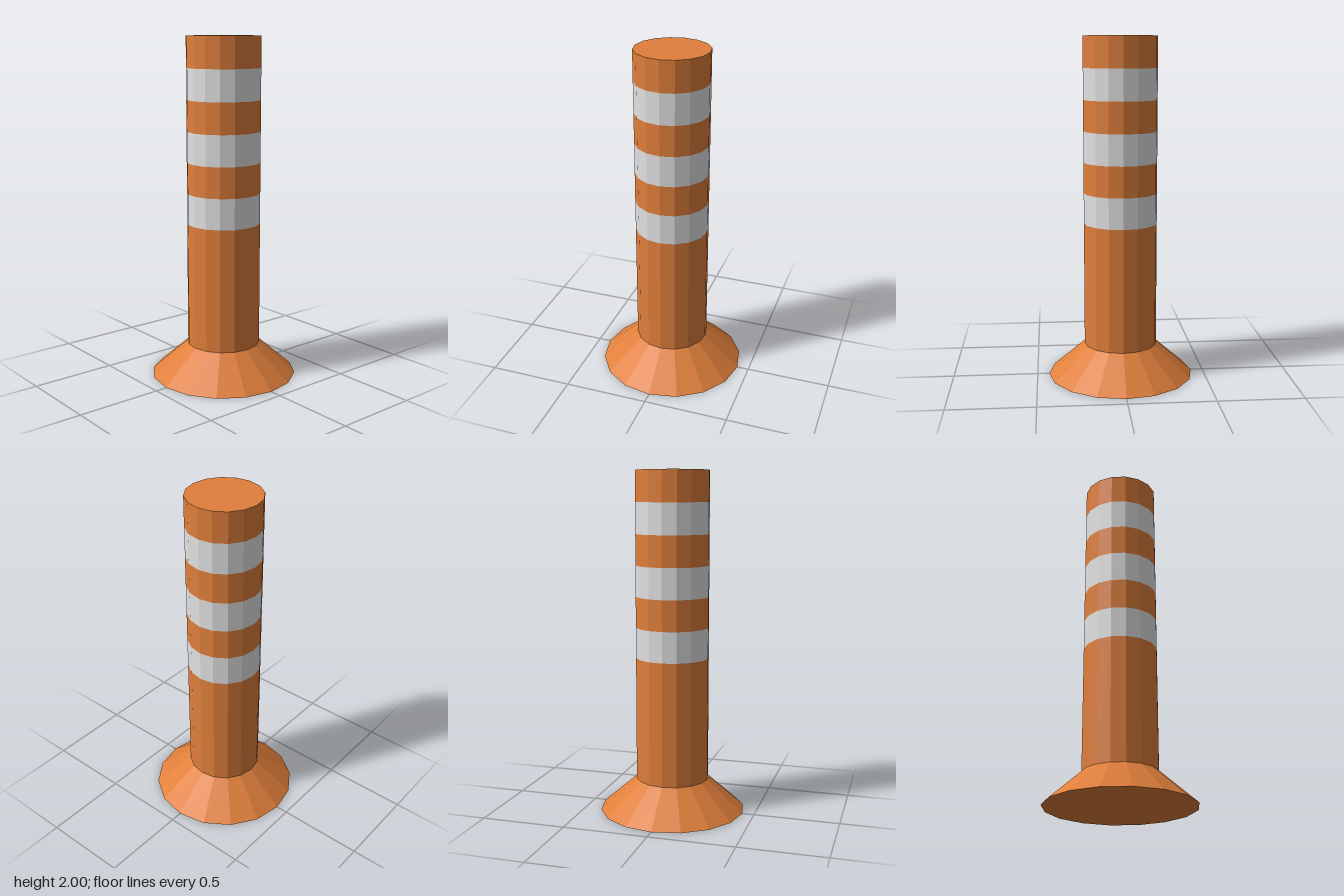
import * as THREE from 'three';

const SIDES = 16;
const POST_RADIUS = 0.215;
const BASE_RADIUS = 0.43;

export function createModel() {
  const model = new THREE.Group();
  model.name = 'trafficBollard';

  const orange = new THREE.MeshStandardMaterial({ color: 0xe07f3b, flatShading: true });
  orange.name = 'orange plastic';
  const white = new THREE.MeshStandardMaterial({ color: 0xe2e2e2, flatShading: true });
  white.name = 'reflective white';

  // One faceted ring between two heights, open unless capped
  function addSection(name, material, y0, y1, bottomRadius = POST_RADIUS) {
    const geometry = new THREE.CylinderGeometry(POST_RADIUS, bottomRadius, y1 - y0, SIDES, 1, true);
    const mesh = new THREE.Mesh(geometry, material);
    mesh.name = name;
    mesh.position.y = (y0 + y1) / 2;
    model.add(mesh);
  }

  // Flat disc closing an end, with corners matching the rings
  function addCap(name, radius, y, facing) {
    const geometry = new THREE.CircleGeometry(radius, SIDES).rotateX(-facing * Math.PI / 2);
    const mesh = new THREE.Mesh(geometry, orange);
    mesh.name = name;
    mesh.position.y = y;
    model.add(mesh);
  }

  // Flared foot
  addSection('flaredBase', orange, 0, 0.19, BASE_RADIUS);
  addCap('baseUnderside', BASE_RADIUS, 0, -1);

  // Post: alternating orange sections and white bands
  const levels = [0.19, 0.92, 1.1, 1.28, 1.46, 1.64, 1.82, 2];
  for (let i = 0; i < levels.length - 1; i++) {
    const isBand = i % 2 === 1;
    addSection(isBand ? 'reflectiveBand' : 'postSection', isBand ? white : orange, levels[i], levels[i + 1]);
  }
  addCap('postTop', POST_RADIUS, 2, 1);

  return model;
}
